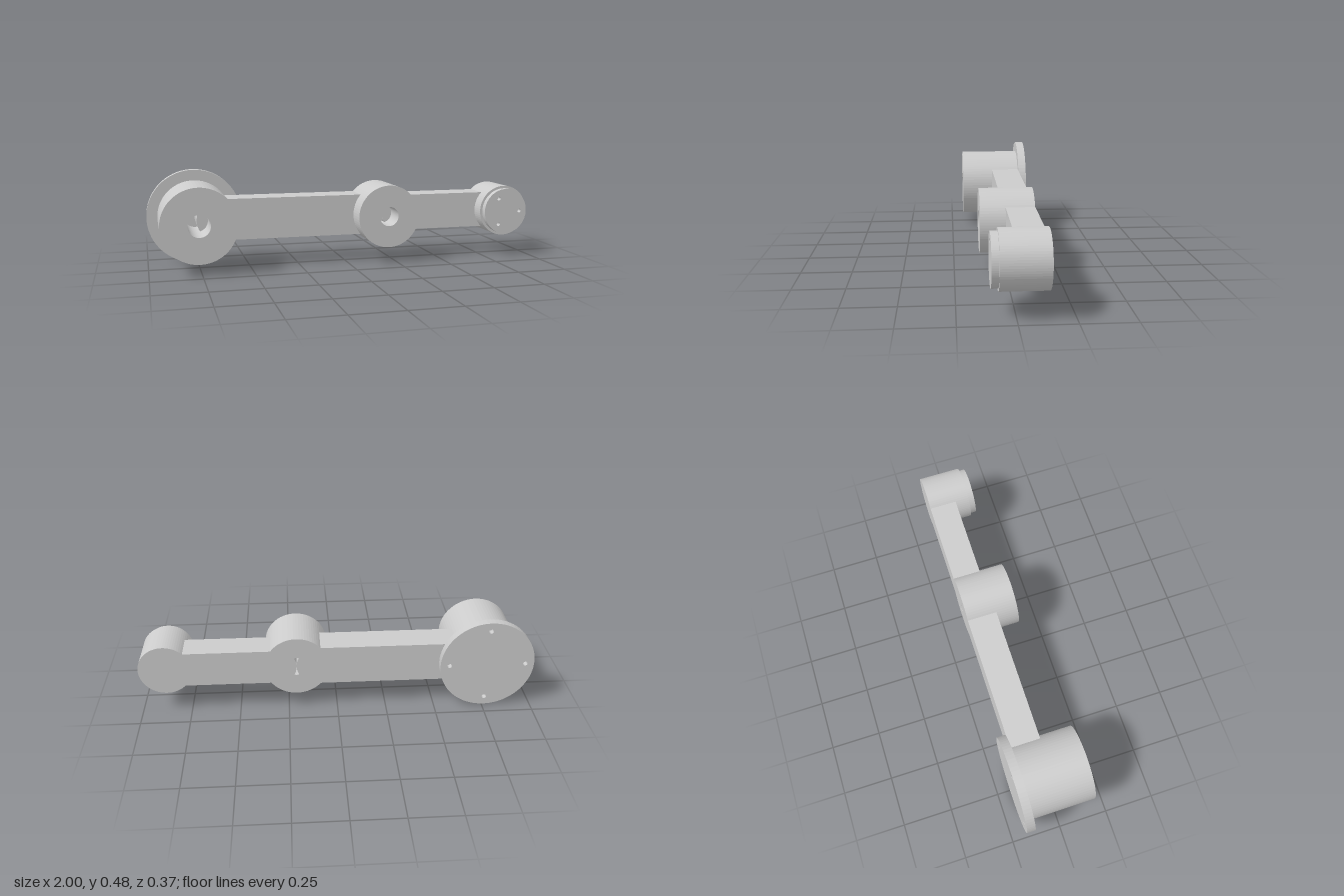
import * as THREE from 'three';

const AXIS_Y = 0.24;
const BACK = -0.14;
const BASE_X = -0.76, ELBOW_X = 0.206, WRIST_X = 0.867;

export function createModel() {
  const group = new THREE.Group();
  const material = new THREE.MeshStandardMaterial({ color: 0xcccccc, flatShading: true });

  // Extrudes a shape along z from z0 to z1, centred on the arm axis height
  function addPart(name, shape, x, z0, z1) {
    const geometry = new THREE.ExtrudeGeometry(shape, {
      depth: z1 - z0, bevelEnabled: false, curveSegments: 36,
    });
    const mesh = new THREE.Mesh(geometry, material);
    mesh.name = name;
    mesh.position.set(x, AXIS_Y, z0);
    group.add(mesh);
  }

  // Disc with optional round holes given as [x, y, radius]
  function disc(radius, holes = []) {
    const shape = new THREE.Shape().absarc(0, 0, radius, 0, Math.PI * 2, false);
    for (const [x, y, r] of holes) {
      shape.holes.push(new THREE.Path().absarc(x, y, r, 0, Math.PI * 2, true));
    }
    return shape;
  }

  // Evenly spaced ring of screw holes
  function boltCircle(count, ringRadius, holeRadius) {
    return Array.from({ length: count }, (_, i) => {
      const a = (i / count) * Math.PI * 2;
      return [Math.cos(a) * ringRadius, Math.sin(a) * ringRadius, holeRadius];
    });
  }

  // Straight link with rounded ends that reach from one axis to the next
  function link(length, r) {
    const shape = new THREE.Shape();
    shape.absarc(length - r, 0, r, -Math.PI / 2, Math.PI / 2, false);
    shape.absarc(r, 0, r, Math.PI / 2, Math.PI * 1.5, false);
    shape.closePath();
    return shape;
  }

  // Mounting flange with four blind screw holes in its back
  addPart('flangeBack', disc(0.24, boltCircle(4, 0.194, 0.012)), BASE_X, -0.183, -0.153);
  addPart('flangeFront', disc(0.24), BASE_X, -0.153, BACK);

  // Bored joint housings
  addPart('baseHousing', disc(0.186, [[0, 0, 0.055]]), BASE_X, BACK, 0.183);
  addPart('elbowHousing', disc(0.16, [[0, 0, 0.05]]), ELBOW_X, BACK, 0.125);

  // Links; their rounded tips meet inside the elbow bore
  addPart('upperLink', link(ELBOW_X - BASE_X, 0.104), BASE_X, BACK, 0.013);
  addPart('lowerLink', link(WRIST_X - ELBOW_X, 0.093), ELBOW_X, BACK, 0.002);

  // Wrist drum and its tool plate with three screw holes
  addPart('wristHousing', disc(0.133), WRIST_X, BACK, 0.075);
  addPart('toolPlate', disc(0.12, boltCircle(3, 0.08, 0.01)), WRIST_X, 0.075, 0.107);

  return group;
}
